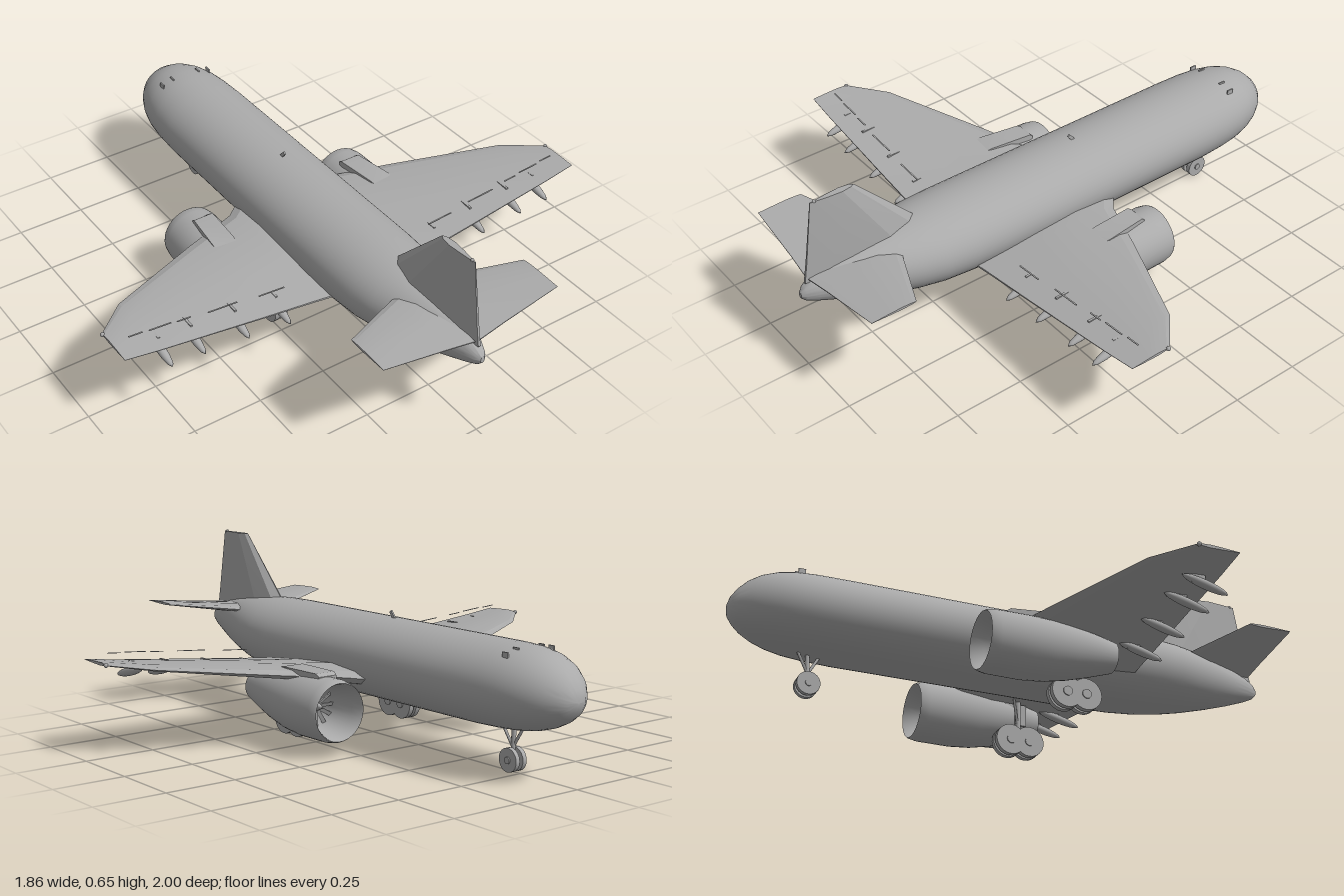
import * as THREE from 'three';
import { toCreasedNormals } from 'three/addons/utils/BufferGeometryUtils.js';

const grey = new THREE.MeshStandardMaterial({ color: 0xaaaaaa });
grey.name = 'grey';

function part(parent, name, geometry, x = 0, y = 0, z = 0) {
  const mesh = new THREE.Mesh(geometry, grey);
  mesh.name = name;
  mesh.position.set(x, y, z);
  parent.add(mesh);
  return mesh;
}

// Skin a list of equal-sized rings of [x, y, z] points, facing outwards
function loft(rings, crease = 0.6, caps = true) {
  const n = rings[0].length;
  const pos = rings.flat(2);
  const idx = [];
  for (let i = 0; i < rings.length - 1; i++) {
    for (let j = 0; j < n; j++) {
      const a = i * n + j, b = i * n + (j + 1) % n;
      idx.push(a, b, b + n, a, b + n, a + n);
    }
  }
  if (caps) {
    [0, rings.length - 1].forEach((r) => {
      const c = pos.length / 3;
      for (let k = 0; k < 3; k++) pos.push(rings[r].reduce((s, p) => s + p[k], 0) / n);
      for (let j = 0; j < n; j++) {
        const a = r * n + j, b = r * n + (j + 1) % n;
        if (r === 0) idx.push(c, b, a);
        else idx.push(c, a, b);
      }
    });
  }
  // signed volume tells whether the skin is inside out
  const v = (i) => new THREE.Vector3().fromArray(pos, i * 3);
  let volume = 0;
  for (let i = 0; i < idx.length; i += 3) volume += v(idx[i]).dot(v(idx[i + 1]).cross(v(idx[i + 2])));
  if (volume < 0) idx.reverse();
  const g = new THREE.BufferGeometry();
  g.setAttribute('position', new THREE.Float32BufferAttribute(pos, 3));
  g.setIndex(idx);
  return toCreasedNormals(g, crease);
}

const ellipse = (z, cx, cy, rx, ry, n = 48) => Array.from({ length: n }, (_, i) => {
  const a = (i / n) * Math.PI * 2;
  return [cx + rx * Math.cos(a), cy + ry * Math.sin(a), z];
});

// Wing section: [chord fraction, thickness fraction]
const foil = [[0, 0], [0.08, 0.3], [0.3, 0.5], [0.6, 0.36], [1, 0.05],
  [1, -0.05], [0.6, -0.34], [0.3, -0.5], [0.08, -0.3]];
const wingSection = (s, x, y, z0, z1, t, drop = 0) =>
  foil.map(([u, h]) => [s * x, y + h * t - drop * u, z0 + (z1 - z0) * u]);

// Straight rod between two points
function rod(parent, name, a, b, r) {
  const p = new THREE.Vector3(...a), q = new THREE.Vector3(...b);
  const m = part(parent, name, new THREE.CylinderGeometry(r, r, p.distanceTo(q), 10));
  m.position.copy(p).add(q).multiplyScalar(0.5);
  m.quaternion.setFromUnitVectors(new THREE.Vector3(0, 1, 0), q.sub(p).normalize());
}

function wheel(parent, x, y, z, r, w) {
  part(parent, 'tyre', new THREE.CylinderGeometry(r, r, w, 24).rotateZ(Math.PI / 2), x, y, z);
  part(parent, 'hub', new THREE.CylinderGeometry(r * 0.3, r * 0.3, w + 0.008, 12).rotateZ(Math.PI / 2), x, y, z);
}

function engine(parent, s) {
  const g = new THREE.Group();
  g.name = 'engine';
  g.position.x = s * 0.325;
  parent.add(g);
  // hollow cowl: [z, radius, centre height], inside then outside
  const profile = [[0.24, 0.049, 0.171], [0.05, 0.062, 0.16], [-0.1, 0.07, 0.153], [-0.19, 0.084, 0.153],
    [-0.228, 0.094, 0.153], [-0.235, 0.098, 0.153], [-0.228, 0.102, 0.153], [-0.2, 0.107, 0.153],
    [-0.08, 0.108, 0.153], [0, 0.103, 0.155], [0.08, 0.091, 0.16], [0.16, 0.074, 0.166], [0.24, 0.053, 0.171]];
  profile.push(profile[0]);
  part(g, 'cowl', loft(profile.map(([z, r, y]) => ellipse(z, 0, y, r, r, 36)), 0.7, false));
  // fan
  part(g, 'spinner', new THREE.ConeGeometry(0.02, 0.05, 16).rotateX(-Math.PI / 2), 0, 0.153, -0.12);
  for (let i = 0; i < 12; i++) {
    const a = (i / 12) * Math.PI * 2;
    const blade = part(g, 'fanBlade',
      new THREE.BoxGeometry(0.014, 0.056, 0.004).rotateY(0.5).translate(0, 0.042, 0), 0, 0.153, -0.1);
    blade.rotation.z = a;
  }
  // pylon
  const box = (z, c, w, lo, hi) => [[c - w, lo, z], [c + w, lo, z], [c + w, hi, z], [c - w, hi, z]]
    .map(([x, y, zz]) => [s * x, y, zz]);
  part(g, 'pylon', loft([box(-0.155, -0.01, 0.036, 0.24, 0.262), box(-0.14, -0.01, 0.038, 0.23, 0.272),
    box(0.02, 0.007, 0.042, 0.21, 0.276), box(0.12, 0.007, 0.02, 0.21, 0.25)], 0.3));
}

function mainGear(parent, s) {
  const g = new THREE.Group();
  g.name = 'mainGear';
  parent.add(g);
  for (const z of [0.105, 0.175]) {
    for (const x of [0.221, 0.251]) wheel(g, s * x, 0.056, z, 0.056, 0.019);
  }
  rod(g, 'bogieBeam', [s * 0.236, 0.056, 0.09], [s * 0.236, 0.056, 0.19], 0.008);
  rod(g, 'strut', [s * 0.236, 0.056, 0.14], [s * 0.236, 0.23, 0.14], 0.011);
  rod(g, 'sideBrace', [s * 0.236, 0.11, 0.14], [s * 0.2, 0.21, 0.11], 0.005);
  part(g, 'gearDoor', new THREE.BoxGeometry(0.007, 0.08, 0.08), s * 0.255, 0.17, 0.14);
}

export function createModel() {
  const plane = new THREE.Group();
  plane.name = 'airliner';

  // fuselage stations: [z, bottom, top, half width]
  const body = [[-1, 0.264, 0.276, 0.006], [-0.99, 0.236, 0.308, 0.04], [-0.97, 0.213, 0.338, 0.067],
    [-0.94, 0.192, 0.368, 0.097], [-0.9, 0.173, 0.393, 0.124], [-0.85, 0.158, 0.41, 0.147],
    [-0.79, 0.148, 0.419, 0.163], [-0.72, 0.143, 0.422, 0.172], [-0.62, 0.14, 0.422, 0.177],
    [0.3, 0.14, 0.422, 0.177], [0.42, 0.143, 0.422, 0.176], [0.53, 0.152, 0.42, 0.17],
    [0.62, 0.166, 0.415, 0.155], [0.7, 0.182, 0.407, 0.131], [0.79, 0.205, 0.393, 0.1],
    [0.88, 0.232, 0.373, 0.065], [0.95, 0.257, 0.35, 0.038], [0.985, 0.273, 0.33, 0.022], [1, 0.288, 0.312, 0.008]];
  part(plane, 'fuselage', loft(body.map(([z, lo, hi, w]) => ellipse(z, 0, (lo + hi) / 2, w, (hi - lo) / 2)), 0.7));

  // tail fin
  const finSection = (y, z0, z1, t) => foil.map(([u, h]) => [h * t, y, z0 + (z1 - z0) * u]);
  part(plane, 'tailFin', loft([finSection(0.34, 0.5, 0.98, 0.09), finSection(0.42, 0.56, 0.965, 0.08),
    finSection(0.64, 0.77, 0.93, 0.026)], 0.25));
  part(plane, 'finLight', new THREE.SphereGeometry(0.006, 8, 6), 0, 0.64, 0.915);

  for (const s of [1, -1]) {
    part(plane, 'wing', loft([
      wingSection(s, 0.08, 0.226, -0.22, 0.418, 0.075, 0.012),
      wingSection(s, 0.175, 0.236, -0.165, 0.415, 0.07, 0.012),
      wingSection(s, 0.215, 0.24, -0.13, 0.413, 0.065, 0.012),
      wingSection(s, 0.43, 0.26, -0.04, 0.407, 0.046, 0.008),
      wingSection(s, 0.8, 0.297, 0.13, 0.395, 0.02, 0.003),
      wingSection(s, 0.92, 0.31, 0.24, 0.39, 0.011)], 0.25));
    part(plane, 'wingLight', new THREE.SphereGeometry(0.008, 8, 6), s * 0.92, 0.31, 0.245);
    part(plane, 'tailplane', loft([
      wingSection(s, 0.01, 0.357, 0.62, 0.97, 0.04),
      wingSection(s, 0.11, 0.367, 0.675, 0.96, 0.03),
      wingSection(s, 0.345, 0.394, 0.78, 0.945, 0.009)], 0.25));

    engine(plane, s);
    mainGear(plane, s);

    // flap track fairings, drooping to the rear
    for (const [x, y] of [[0.33, 0.215], [0.49, 0.233], [0.655, 0.25], [0.775, 0.258]]) {
      const f = part(plane, 'flapFairing', new THREE.SphereGeometry(1, 12, 10), s * x, y, 0.345);
      f.scale.set(0.016, 0.015, 0.085);
      f.rotation.x = 0.25;
      part(plane, 'fairingMount', new THREE.BoxGeometry(0.008, 0.04, 0.05), s * x, y + 0.02, 0.32);
    }
    // thin spoiler strips over the wing
    for (const [x, w, y, z] of [[0.35, 0.1, 0.285, 0.345], [0.535, 0.11, 0.304, 0.34],
      [0.675, 0.05, 0.317, 0.333], [0.76, 0.08, 0.326, 0.33], [0.845, 0.05, 0.332, 0.325]]) {
      const strip = part(plane, 'spoilerStrip', new THREE.BoxGeometry(w, 0.002, 0.005), s * x, y, z);
      strip.rotation.z = s * 0.08;
    }
    // cockpit side windows
    for (const [x, y, z] of [[0.055, 0.402, -0.78], [0.1, 0.392, -0.78]]) {
      part(plane, 'cockpitWindow', new THREE.BoxGeometry(0.005, 0.03, 0.025), s * x, y, z);
    }
  }

  // nose gear
  const nose = new THREE.Group();
  nose.name = 'noseGear';
  plane.add(nose);
  for (const s of [1, -1]) {
    wheel(nose, s * 0.015, 0.04, -0.715, 0.04, 0.016);
    rod(nose, 'brace', [0, 0.08, -0.715], [s * 0.01, 0.16, -0.715 + s * 0.045], 0.005);
  }
  rod(nose, 'strut', [0, 0.04, -0.715], [0, 0.17, -0.72], 0.008);

  // roof antenna, swept back
  part(plane, 'antenna', new THREE.BoxGeometry(0.006, 0.035, 0.012), 0, 0.43, -0.11).rotation.x = 0.7;

  return plane;
}
